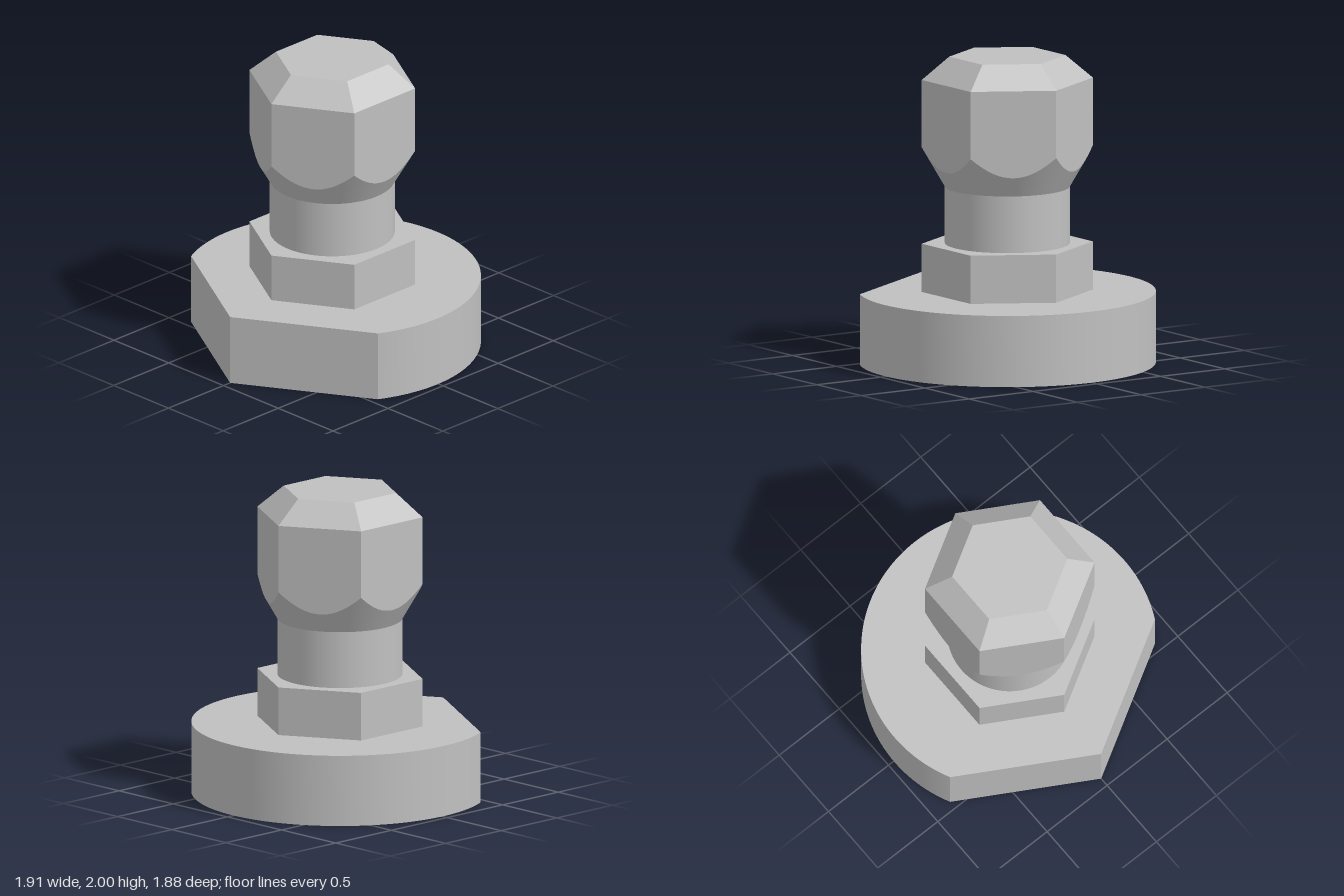
import * as THREE from 'three';
import { toCreasedNormals } from 'three/addons/utils/BufferGeometryUtils.js';

const HEX = 0.553;                          // hexagon corner radius
const APOTHEM = HEX * Math.cos(Math.PI / 6);
const NECK = 0.403;                         // neck radius
const CONE_Y = 1.15;                        // where the neck starts to flare
const FLARE = Math.sqrt(3);                 // rise per unit of radius
const SHOULDER = 1.85;                      // start of the top chamfer
const BASE_R = 0.957;
const STEPS = 16;                           // divisions per hexagon side

export function createModel() {
  const model = new THREE.Group();
  const body = new THREE.Group();
  body.position.z = 0.012;
  model.add(body);

  const metal = new THREE.MeshStandardMaterial({ color: 0xc0c0c0 });
  metal.name = 'grey metal';

  const add = (name, geometry, y = 0) => {
    const mesh = new THREE.Mesh(geometry, metal);
    mesh.name = name;
    mesh.position.y = y;
    body.add(mesh);
    return mesh;
  };
  const hexPrism = (top, bottom, height) =>
    toCreasedNormals(new THREE.CylinderGeometry(top, bottom, height, 6), 0.3);

  // Base: round disc with two flats meeting in a point at the front
  const a = 0.4706;
  const outline = new THREE.Shape();
  outline.absarc(0, 0, BASE_R, -a, Math.PI + a, false);
  outline.lineTo(0, -0.928);
  outline.closePath();
  const base = new THREE.ExtrudeGeometry(outline, { depth: 0.465, bevelEnabled: false, curveSegments: 96 });
  base.rotateX(-Math.PI / 2);
  add('base', toCreasedNormals(base, 0.3));

  // Lower hexagon and round neck
  add('hexCollar', hexPrism(HEX, HEX, 0.315), 0.465 + 0.315 / 2);
  add('neck', new THREE.CylinderGeometry(NECK, NECK, CONE_Y - 0.78, STEPS * 6, 1, true), (CONE_Y + 0.78) / 2);

  // Head: each hexagon side meets the flared cone in a scalloped edge
  const head = new THREE.Group();
  head.name = 'head';
  body.add(head);

  // One sixth of a surface; place(angle, isTop) gives each point
  const sector = (place) => {
    const g = new THREE.PlaneGeometry(1, 1, STEPS, 1);
    const p = g.attributes.position;
    for (let i = 0; i < p.count; i++) {
      const angle = p.getX(i) * Math.PI / 3;
      const [r, y] = place(APOTHEM / Math.cos(angle), p.getY(i) > 0);
      p.setXYZ(i, r * Math.sin(angle), y, r * Math.cos(angle));
    }
    g.computeVertexNormals();
    return g;
  };
  const scallop = (r) => CONE_Y + (r - NECK) * FLARE;
  const side = sector((r, top) => [r, top ? SHOULDER : scallop(r)]);
  const flare = sector((r, top) => (top ? [r, scallop(r)] : [NECK, CONE_Y]));

  // Smooth cone normals on the flare
  const n = flare.attributes.normal;
  const p = flare.attributes.position;
  for (let i = 0; i < n.count; i++) {
    const angle = Math.atan2(p.getX(i), p.getZ(i));
    const c = Math.cos(Math.PI / 6);
    n.setXYZ(i, c * Math.sin(angle), -0.5, c * Math.cos(angle));
  }

  for (let i = 0; i < 6; i++) {
    for (const [name, geometry] of [['headSide', side], ['headFlare', flare]]) {
      const mesh = new THREE.Mesh(geometry, metal);
      mesh.name = name + (i + 1);
      mesh.rotation.y = (i + 0.5) * Math.PI / 3;
      head.add(mesh);
    }
  }

  // Chamfered top
  const chamfer = add('headChamfer', hexPrism(0.376, HEX, 2 - SHOULDER), (2 + SHOULDER) / 2);
  head.add(chamfer);

  return model;
}
